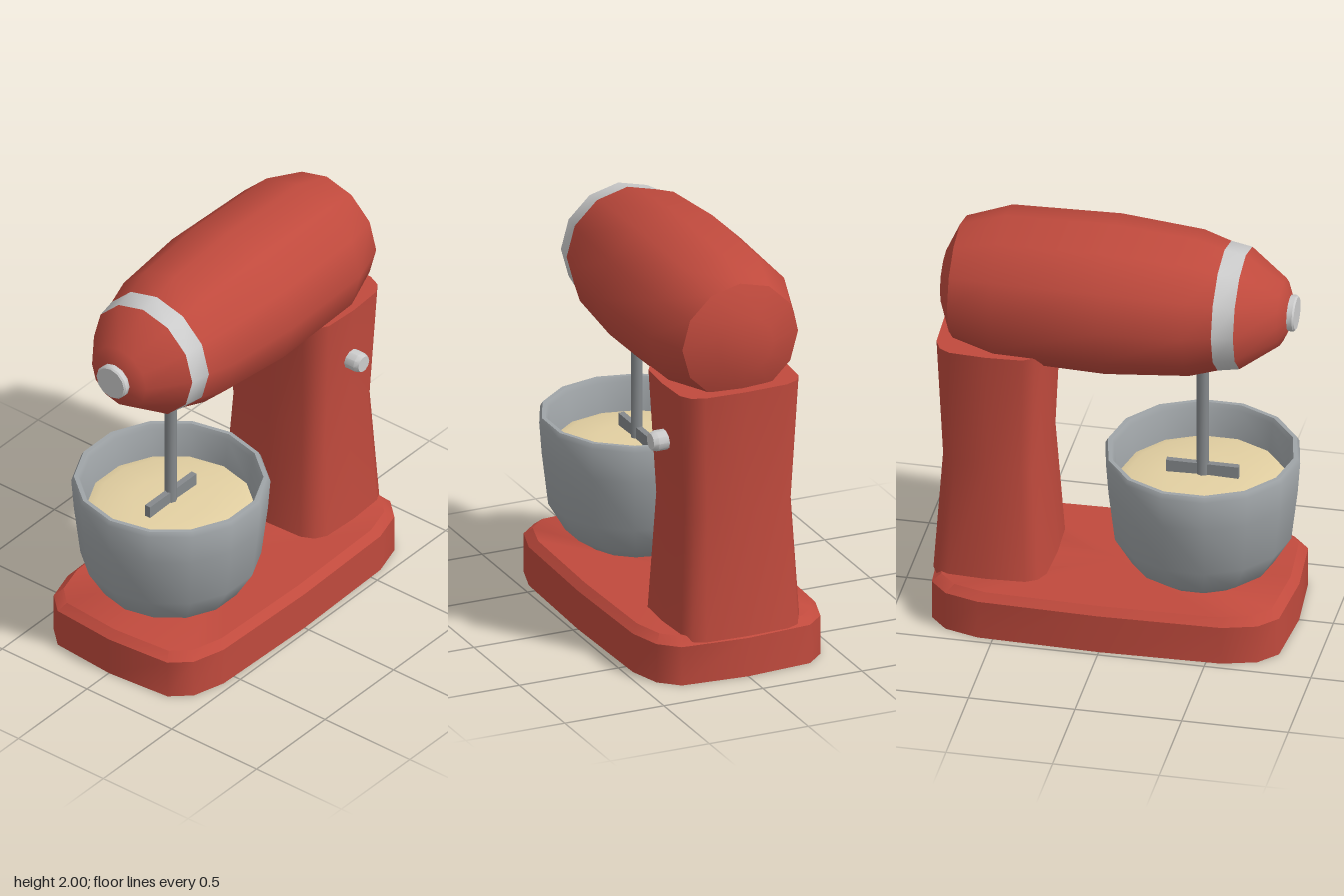
import * as THREE from 'three';
import { toCreasedNormals } from 'three/addons/utils/BufferGeometryUtils.js';

const mat = (color, side = THREE.FrontSide) => new THREE.MeshStandardMaterial({ color, side });

function addMesh(parent, name, geometry, material, crease = 0.7) {
  const mesh = new THREE.Mesh(toCreasedNormals(geometry, crease), material);
  mesh.name = name;
  parent.add(mesh);
  return mesh;
}

// Turned shape from [radius, height] pairs, with corners on the x axis
function turned(points, sides) {
  return new THREE.LatheGeometry(points.map(([r, y]) => new THREE.Vector2(r, y)), sides, Math.PI / 2);
}

// Capped solid through rounded-rectangle rings: [y, centreX, halfX, halfZ]
function roundedLoft(rings, power, sides = 16) {
  const pos = [], index = [];
  const soft = (v) => (Math.abs(v) < 1e-9 ? 0 : Math.sign(v) * Math.abs(v) ** power);
  for (const [y, cx, rx, rz] of rings) {
    for (let i = 0; i < sides; i++) {
      const a = (i / sides) * Math.PI * 2;
      pos.push(cx + rx * soft(Math.cos(a)), y, rz * soft(Math.sin(a)));
    }
  }
  const last = rings.length - 1;
  const bottom = pos.length / 3, top = bottom + 1;
  pos.push(rings[0][1], rings[0][0], 0, rings[last][1], rings[last][0], 0);
  for (let i = 0; i < sides; i++) {
    const j = (i + 1) % sides;
    for (let k = 0; k < last; k++) {
      const a = k * sides + i, b = k * sides + j;
      index.push(a, a + sides, b, b, a + sides, b + sides);
    }
    index.push(bottom, i, j, top, last * sides + j, last * sides + i);
  }
  const g = new THREE.BufferGeometry();
  g.setAttribute('position', new THREE.Float32BufferAttribute(pos, 3));
  g.setIndex(index);
  return g;
}

export function createModel() {
  const model = new THREE.Group();
  model.name = 'standMixer';
  const red = mat(0xc04a3d), silver = mat(0xcccccc), steel = mat(0x9fa4a7, THREE.DoubleSide);
  const darkSteel = mat(0x85898c), cream = mat(0xe3d0a2);

  // Base and waisted column
  addMesh(model, 'base', roundedLoft([
    [0, 0, 0.84, 0.475], [0.19, 0, 0.84, 0.475], [0.225, 0, 0.8, 0.44],
  ], 0.4), red);
  addMesh(model, 'column', roundedLoft([
    [0.2, 0.565, 0.275, 0.31], [0.8, 0.566, 0.232, 0.277], [1.405, 0.567, 0.258, 0.31],
  ], 0.42), red);

  // Motor head turned about the x axis, slightly flattened in height
  const head = new THREE.Group();
  head.name = 'head';
  head.position.y = 1.633;
  head.scale.y = 0.967;
  model.add(head);
  const headParts = [
    ['headNose', red, [[0, -0.8], [0.08, -0.8], [0.16, -0.765], [0.29, -0.59]]],
    ['headBand', silver, [[0.29, -0.59], [0.307, -0.49]]],
    ['headBody', red, [[0.307, -0.49], [0.347, -0.36], [0.38, 0.03], [0.367, 0.54],
      [0.292, 0.75], [0.14, 0.815], [0, 0.815]]],
    ['attachmentHub', silver, [[0, -0.83], [0.08, -0.83], [0.087, -0.822], [0.087, -0.795], [0, -0.795]]],
  ];
  for (const [name, material, profile] of headParts) {
    addMesh(head, name, turned(profile, 12).rotateZ(-Math.PI / 2), material);
  }

  // Bowl with hollow inside, batter, shaft and paddle share one axis
  const mixing = new THREE.Group();
  mixing.name = 'mixingSet';
  mixing.position.x = -0.388;
  model.add(mixing);
  addMesh(mixing, 'bowl', turned([
    [0, 0.222], [0.23, 0.222], [0.335, 0.295], [0.415, 0.43], [0.445, 0.68], [0.457, 0.835],
    [0.445, 0.858], [0.425, 0.858], [0.413, 0.835], [0.4, 0.68], [0.37, 0.45], [0.2, 0.27], [0, 0.27],
  ], 14), steel);
  addMesh(mixing, 'batter', turned([
    [0, 0.66], [0.385, 0.66], [0.385, 0.7], [0.34, 0.715], [0.18, 0.725], [0, 0.73],
  ], 14), cream);
  addMesh(mixing, 'shaft', new THREE.CylinderGeometry(0.029, 0.029, 0.75, 8).translate(0, 1.045, 0), darkSteel, 0.9);
  addMesh(mixing, 'paddle', new THREE.BoxGeometry(0.34, 0.06, 0.03).translate(0, 0.755, 0), darkSteel);

  // Speed knob on the front of the column
  addMesh(model, 'knob', turned([
    [0, 0.25], [0.049, 0.25], [0.049, 0.345], [0.04, 0.368], [0, 0.368],
  ], 10).rotateX(Math.PI / 2).translate(0.565, 1.125, 0), silver);

  return model;
}
